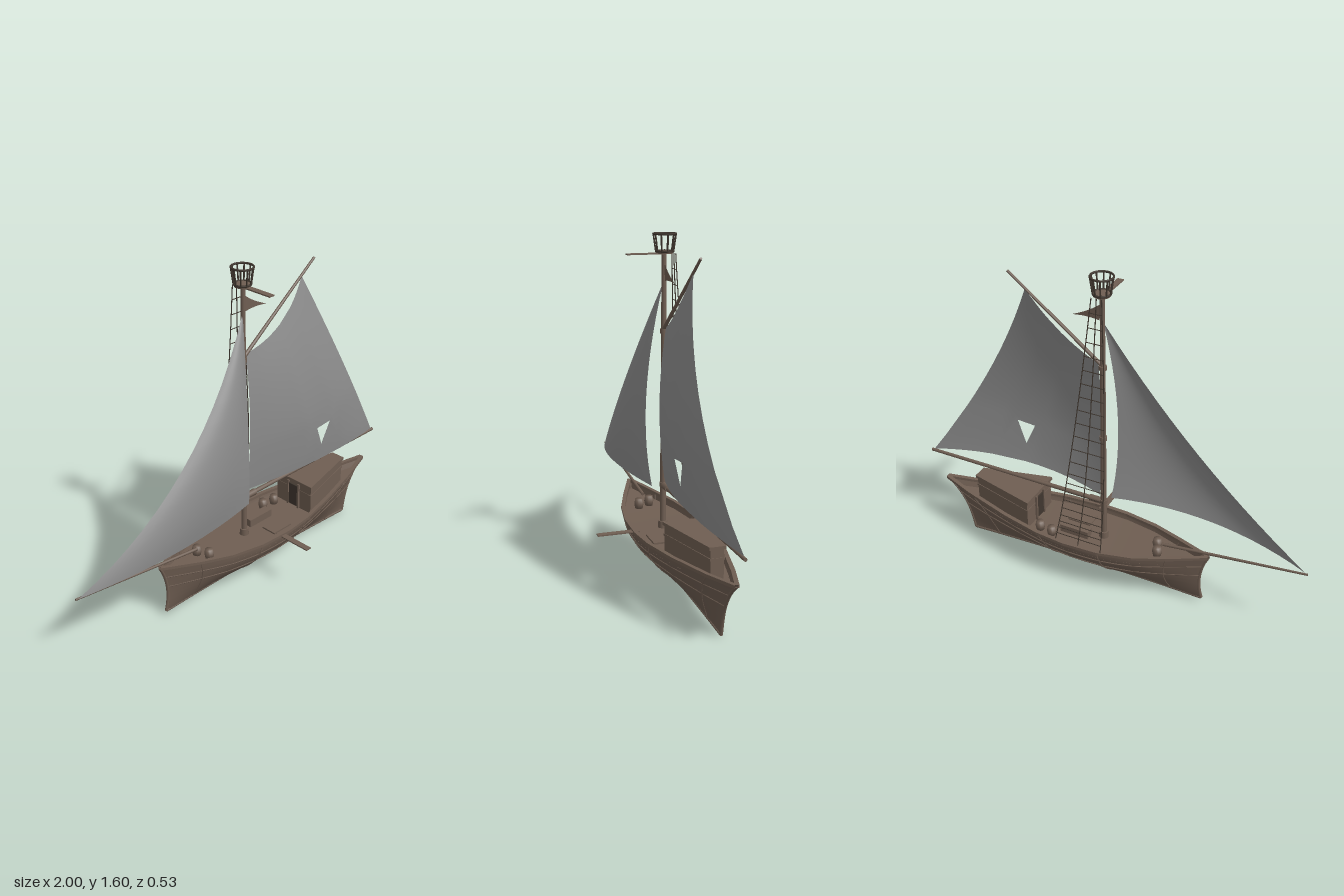
import * as THREE from 'three';
import { mergeGeometries, mergeVertices } from 'three/addons/utils/BufferGeometryUtils.js';

const V = (x, y, z) => new THREE.Vector3(x, y, z);
const CZ = -0.085; // centreline of the boat
const mat = (name, color) => new THREE.MeshStandardMaterial({ name, color, side: THREE.DoubleSide });

// Surface through fn(u, v) at the given breaks; cells can be left out
function grid(fn, us, vs, skip = () => false) {
  const pos = [], idx = [], n = vs.length;
  us.forEach(u => vs.forEach(v => pos.push(...fn(u, v).toArray())));
  for (let i = 0; i < us.length - 1; i++) for (let j = 0; j < n - 1; j++) {
    if (skip(i, j)) continue;
    const a = i * n + j, b = a + n;
    idx.push(a, b, b + 1, a, b + 1, a + 1);
  }
  const g = new THREE.BufferGeometry();
  g.setAttribute('position', new THREE.Float32BufferAttribute(pos, 3));
  g.setIndex(idx);
  g.computeVertexNormals();
  return g;
}
const steps = n => Array.from({ length: n + 1 }, (_, i) => i / n);
const flat = g => { const f = g.toNonIndexed(); f.computeVertexNormals(); return f; };

// Edge from a to b passing through m halfway
const edge = (a, m, b) => t => a.clone().lerp(b, t)
  .addScaledVector(m.clone().sub(a.clone().lerp(b, 0.5)), 4 * t * (1 - t));

// Patch spanned by four edges, with a little extra belly in z
function patch(foot, head, luff, leech, belly) {
  return (u, v) => {
    const p = foot(u).multiplyScalar(1 - v).addScaledVector(head(u), v)
      .addScaledVector(luff(v), 1 - u).addScaledVector(leech(v), u);
    p.addScaledVector(foot(0), -(1 - u) * (1 - v)).addScaledVector(foot(1), -u * (1 - v));
    p.addScaledVector(head(0), -(1 - u) * v).addScaledVector(head(1), -u * v);
    p.z += belly * 16 * u * (1 - u) * v * (1 - v);
    return p;
  };
}

// Hull: stations along x, half widths at the rail
const stationX = [-0.53, -0.35, -0.2, -0.03, 0.15, 0.3, 0.5, 0.75, 0.92];
const halfW = [0.004, 0.08, 0.135, 0.168, 0.175, 0.162, 0.122, 0.058, 0.004];
const sheer = x => 0.25 + 0.036 * ((x - 0.1) / (x < 0.1 ? 0.63 : 0.82)) ** 2;
const bowX = s => -0.505 + 0.08 * s - 0.105 * s * s;
const sternX = s => 0.77 + 0.05 * s + 0.1 * s ** 3;
function hullPoint(i, s, side) {
  const t = (stationX[i] + 0.53) / 1.45;
  const keel = 0.03 + 0.03 * t - 0.05 * t * t;
  return V(THREE.MathUtils.lerp(bowX(s), sternX(s), t),
    THREE.MathUtils.lerp(keel, sheer(stationX[i]), s),
    CZ + side * Math.max(0.004, halfW[i] * (1 - (1 - s) ** 2)));
}

export function createModel() {
  const root = new THREE.Group();
  const wood = mat('brown wood', 0x6f5e52);
  const dark = mat('dark wood and rope', 0x40372f);
  const canvas = mat('grey canvas', 0x8e8e8e);
  const add = (name, geo, m, x = 0, y = 0, z = 0, parent = root) => {
    const mesh = new THREE.Mesh(geo, m);
    mesh.name = name;
    mesh.position.set(x, y, z);
    parent.add(mesh);
    return mesh;
  };
  const rod = (name, a, b, r0, r1 = r0, m = wood, sides = 8, parent = root) => {
    const d = b.clone().sub(a);
    const mesh = add(name, new THREE.CylinderGeometry(r1, r0, d.length(), sides), m, 0, 0, 0, parent);
    mesh.position.copy(a).addScaledVector(d, 0.5);
    mesh.quaternion.setFromUnitVectors(V(0, 1, 0), d.normalize());
  };
  const rope = (name, pts, r, m = dark, sides = 5, parent = root) =>
    add(name, new THREE.TubeGeometry(new THREE.CatmullRomCurve3(pts), 24, r, sides), m, 0, 0, 0, parent);

  // Hull sides, wales, ribs and rails
  const stations = stationX.map((_, i) => i);
  const railProfile = [[-0.012, -0.008], [0.008, -0.008], [0.008, 0.006], [-0.012, 0.006], [-0.012, -0.008]];
  for (const side of [1, -1]) {
    add('hullSide', grid((i, s) => hullPoint(i, s, side), stations, steps(10)), wood);
    add('rail', flat(grid((i, k) => {
      const p = hullPoint(i, 1, side), [out, up] = railProfile[k];
      return p.add(V(0, up, side * out));
    }, stations, [0, 1, 2, 3, 4])), wood);
    for (const s of [0.52, 0.75]) rope('wale', stations.map(i => hullPoint(i, s, side)), 0.003, wood);
    for (const i of [1, 3, 5, 7]) rope('rib', steps(6).map(s => hullPoint(i, s, side)), 0.003, wood);
  }
  add('deck', grid((i, k) => hullPoint(i, 0.84, k), stations, [-1, 1]), wood);
  rope('stemPost', steps(6).map(s => hullPoint(0, s, 0)), 0.008, wood, 6);
  rope('sternPost', steps(6).map(s => hullPoint(8, s, 0)), 0.008, wood, 6);
  rope('keel', stations.map(i => hullPoint(i, 0, 0)), 0.008, wood, 6);

  // Mast with collars, and spars
  const MX = 0.015;
  rod('mast', V(MX, 0.2, CZ), V(MX, 1.52, CZ), 0.015, 0.011, wood, 12);
  rod('mastFoot', V(MX, 0.2, CZ), V(MX, 0.25, CZ), 0.024, 0.022, wood, 12);
  for (const y of [0.43, 0.79, 1.16]) rod('mastCollar', V(MX, y - 0.01, CZ), V(MX, y + 0.01, CZ), 0.018, 0.018, wood, 12);
  rod('bowsprit', V(-0.3, 0.28, CZ), V(-1, 0.365, CZ), 0.008, 0.005);
  rod('boom', V(0.02, 0.428, CZ), V(1, 0.428, CZ), 0.011, 0.008);
  rod('boomCollar', V(0.03, 0.428, CZ), V(0.09, 0.428, CZ), 0.016);
  rod('gaff', V(0.005, 1.16, CZ), V(0.48, 1.528, CZ), 0.009, 0.006);

  // Crow's nest: floor, flared posts and hoops
  const nest = new THREE.Group();
  nest.name = 'crowsNest';
  nest.position.set(MX, 0, CZ - 0.003);
  root.add(nest);
  add('nestFloor', new THREE.CylinderGeometry(0.04, 0.038, 0.012, 16), wood, 0, 1.515, 0, nest);
  for (const [y, r] of [[1.597, 0.051], [1.52, 0.039]])
    add('nestHoop', new THREE.TorusGeometry(r, 0.005, 6, 20).rotateX(Math.PI / 2), dark, 0, y, 0, nest);
  for (let i = 0; i < 10; i++) {
    const a = i * Math.PI / 5, c = Math.cos(a), s = Math.sin(a);
    rod('nestPost', V(0.039 * c, 1.515, 0.039 * s), V(0.051 * c, 1.597, 0.051 * s), 0.004, 0.004, dark, 5, nest);
  }

  // Planks at the nest and over the side
  add('nestPlank', new THREE.BoxGeometry(0.03, 0.006, 0.17), wood, MX, 1.51, 0.005);
  add('sidePlank', new THREE.BoxGeometry(0.03, 0.006, 0.2), wood, 0.105, 0.246, 0.162);

  // Pennant
  const pennant = new THREE.Shape();
  pennant.moveTo(0.02, 1.47);
  pennant.quadraticCurveTo(0.07, 1.425, 0.165, 1.388);
  pennant.quadraticCurveTo(0.09, 1.4, 0.03, 1.388);
  add('pennant', new THREE.ShapeGeometry(pennant), wood, 0, 0, CZ);

  // Jib
  const tack = V(-0.99, 0.365, -0.08), clew = V(0, 0.42, -0.035), head = V(0.012, 1.385, CZ);
  const jib = patch(edge(tack, V(-0.5, 0.412, 0.015), clew), () => head.clone(),
    edge(tack, V(-0.43, 0.79, -0.02), head), edge(clew, V(-0.025, 0.86, -0.015), head), 0.012);
  add('jib', grid(jib, steps(14), steps(14)), canvas);

  // Mainsail with a torn triangular hole in one cell
  const mTack = V(0.035, 0.462, CZ), mClew = V(0.985, 0.437, CZ), throat = V(0.035, 1.18, -0.09), peak = V(0.395, 1.46, CZ);
  const main = patch(edge(mTack, V(0.5, 0.473, -0.02), mClew), edge(throat, V(0.238, 1.278, -0.065), peak),
    edge(mTack, V(0.033, 0.82, -0.06), throat), edge(mClew, V(0.662, 0.94, -0.025), peak), 0.006);
  const us = [0, 0.1, 0.2, 0.3, 0.4, 0.48, 0.68, 0.76, 0.84, 0.92, 1];
  const vs = [0, 0.1, 0.29, 0.38, 0.47, 0.56, 0.65, 0.74, 0.83, 0.92, 1];
  const cell = new THREE.Shape([[0.48, 0.1], [0.68, 0.1], [0.68, 0.29], [0.48, 0.29]].map(p => new THREE.Vector2(...p)));
  cell.holes.push(new THREE.Path([[0.52, 0.262], [0.525, 0.125], [0.645, 0.265]].map(p => new THREE.Vector2(...p))));
  const torn = new THREE.ShapeGeometry(cell), tp = torn.attributes.position;
  for (let i = 0; i < tp.count; i++) tp.setXYZ(i, ...main(tp.getX(i), tp.getY(i)).toArray());
  torn.deleteAttribute('uv');
  torn.computeVertexNormals();
  const sail = mergeGeometries([grid(main, us, vs, (i, j) => i === 5 && j === 1), torn]);
  sail.deleteAttribute('normal');
  const welded = mergeVertices(sail, 1e-5);
  welded.computeVertexNormals();
  add('mainsail', welded, canvas);

  // Rope ladder from the nest to the far rail
  const ladderZ = new THREE.CatmullRomCurve3([V(0, 1.51, -0.13), V(0, 1.2, -0.14), V(0, 0.9, -0.158),
    V(0, 0.6, -0.187), V(0, 0.4, -0.218), V(0, 0.26, -0.252)]);
  const ladderAt = (t, k) => {
    const p = ladderZ.getPoint(t), f = (1.51 - p.y) / 1.25;
    p.x = THREE.MathUtils.lerp(-0.005 - 0.045 * f, 0.045 + 0.145 * f, k);
    return p;
  };
  for (const k of [0, 0.5, 1]) rope('shroud', steps(10).map(t => ladderAt(t, k)), 0.0025);
  for (let i = 1; i < 22; i++) rod('ladderRung', ladderAt(i / 22, 0), ladderAt(i / 22, 1), 0.002, 0.002, dark, 5);

  // Tapered cabin with roof, side band and door
  const slab = (name, grow, y, h) => {
    const x0 = 0.375 - grow, x1 = 0.712 + grow, w0 = 0.115 + grow, w1 = 0.03 + grow;
    const s = new THREE.Shape([[x0, -w0], [x1, -w1], [x1, w1], [x0, w0]].map(p => new THREE.Vector2(...p)));
    add(name, new THREE.ExtrudeGeometry(s, { depth: h, bevelEnabled: false }).rotateX(-Math.PI / 2), wood, 0, y, CZ);
  };
  slab('cabinWalls', 0, 0.2, 0.165);
  slab('cabinBand', 0.003, 0.315, 0.01);
  slab('cabinRoof', 0.007, 0.363, 0.014);
  add('cabinDoor', new THREE.BoxGeometry(0.006, 0.12, 0.06), dark, 0.372, 0.285, CZ);
  for (const z of [-0.035, 0.035]) add('doorPost', new THREE.BoxGeometry(0.012, 0.14, 0.01), wood, 0.37, 0.29, CZ + z);

  // Deck fittings
  add('chest', new THREE.BoxGeometry(0.15, 0.04, 0.045), wood, 0.15, 0.235, -0.122);
  add('hatch', new THREE.BoxGeometry(0.12, 0.008, 0.08), wood, 0.17, 0.222, -0.01);
  for (const [x, z] of [[0.25, -0.185], [0.32, -0.175], [-0.28, -0.11], [-0.255, -0.05]]) {
    const barrel = [[0, 0], [0.019, 0], [0.024, 0.025], [0.019, 0.05], [0, 0.05]].map(p => new THREE.Vector2(...p));
    add('barrel', new THREE.LatheGeometry(barrel, 10), wood, x, sheer(x) - 0.038, z);
  }
  return root;
}
